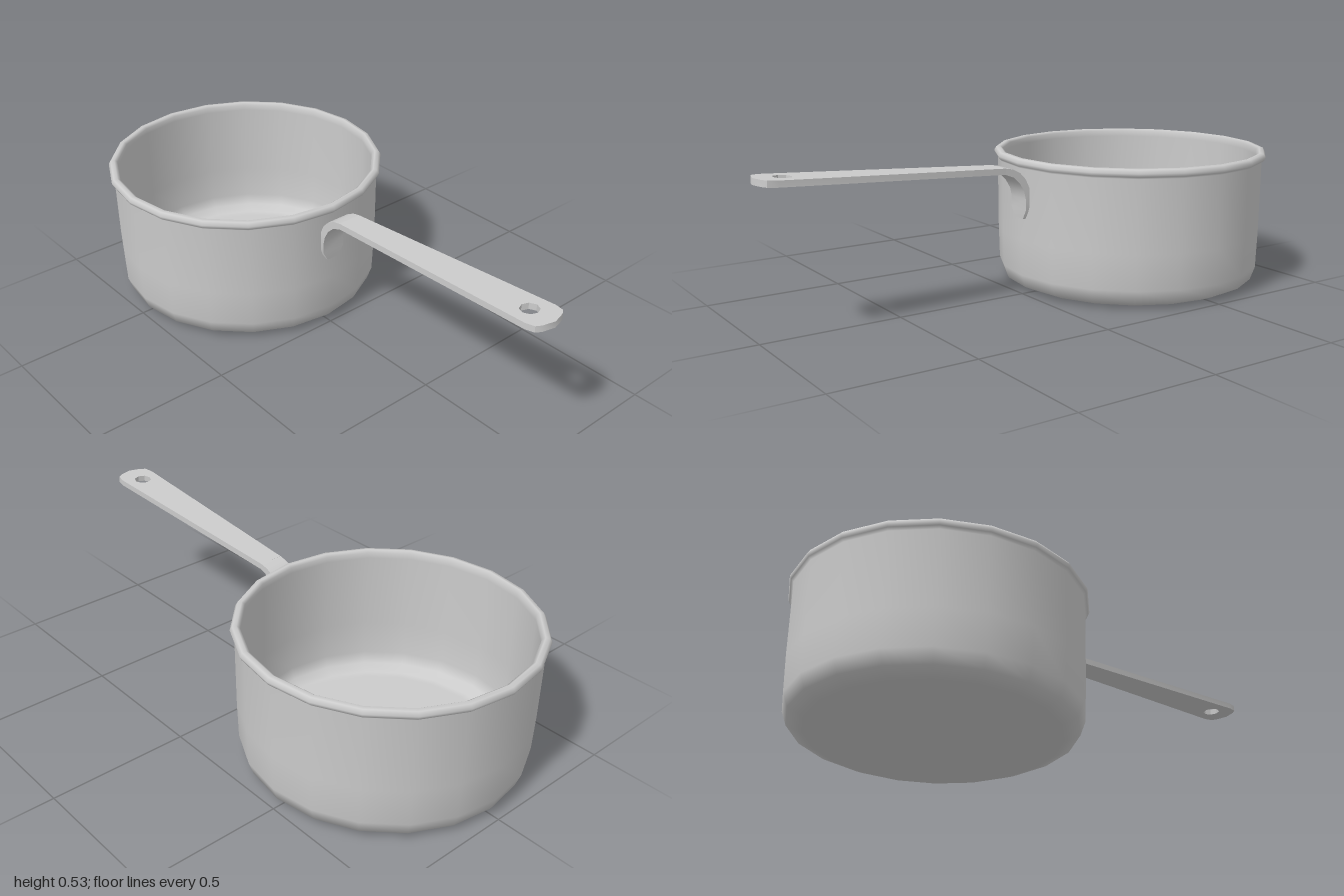
import * as THREE from 'three';
import { toCreasedNormals } from 'three/addons/utils/BufferGeometryUtils.js';

const material = new THREE.MeshStandardMaterial({ color: 0xcccccc });
const points = (list) => list.map(([x, y]) => new THREE.Vector2(x, y));

function addPart(group, name, geometry) {
  const mesh = new THREE.Mesh(geometry, material);
  mesh.name = name;
  group.add(mesh);
  return mesh;
}

// Piecewise linear lookup through [key, value] pairs
function ramp(pairs, key) {
  for (let i = 1; i < pairs.length; i++) {
    const [k0, v0] = pairs[i - 1], [k1, v1] = pairs[i];
    if (key <= k1) return v0 + (v1 - v0) * Math.max(0, (key - k0) / (k1 - k0));
  }
  return pairs[pairs.length - 1][1];
}

export function createModel() {
  const group = new THREE.Group();
  group.name = 'saucepan';

  // Pan: underside, outer wall, rolled rim, inner wall and floor in one profile
  const profile = points([
    [0, 0], [0.41, 0], [0.43, 0.002], [0.475, 0.022], [0.492, 0.07], [0.496, 0.2],
    [0.498, 0.465], [0.507, 0.473], [0.512, 0.485], [0.504, 0.498], [0.49, 0.5],
    [0.479, 0.492], [0.481, 0.47], [0.48, 0.2], [0.476, 0.075], [0.462, 0.035],
    [0.425, 0.017], [0.40, 0.015], [0, 0.015],
  ]);
  const pan = addPart(group, 'pan', new THREE.LatheGeometry(profile, 20));
  pan.position.x = -0.49;

  // Bracket: bent strip rising from the wall, narrowed at its lower end
  const side = new THREE.Shape(points([
    [-0.005, 0.282], [0.013, 0.285], [0.015, 0.32], [0.015, 0.36], [0.022, 0.39],
    [0.04, 0.42], [0.065, 0.443], [0.1, 0.457], [0.1, 0.479], [0.07, 0.473],
    [0.04, 0.458], [0.015, 0.432], [0, 0.40], [-0.005, 0.36], [-0.005, 0.32],
  ]));
  const bracket = new THREE.ExtrudeGeometry(side, { depth: 2, bevelEnabled: false });
  bracket.translate(0, 0, -1);
  const p = bracket.attributes.position;
  const halfWidths = [[0.285, 0.024], [0.32, 0.045], [0.48, 0.045]];
  for (let i = 0; i < p.count; i++) p.setZ(i, p.getZ(i) * ramp(halfWidths, p.getY(i)));
  addPart(group, 'handleBracket', toCreasedNormals(bracket, 0.7));

  // Grip: tapered flat bar with a hanging hole, drawn from above
  const outline = new THREE.Shape(points([
    [0, -0.045], [0.84, -0.07], [0.873, -0.063], [0.885, -0.045], [0.897, 0],
    [0.885, 0.045], [0.873, 0.063], [0.84, 0.07], [0, 0.045],
  ]));
  const hole = [];
  for (let i = 0; i < 8; i++) {
    const a = -i * Math.PI / 4;
    hole.push([0.8 + 0.032 * Math.cos(a), 0.032 * Math.sin(a)]);
  }
  outline.holes.push(new THREE.Path(points(hole)));
  const grip = new THREE.ExtrudeGeometry(outline, { depth: 0.022, bevelEnabled: false });
  grip.rotateX(-Math.PI / 2);
  grip.rotateZ(0.06);
  grip.translate(0.1, 0.457, 0);
  addPart(group, 'handleGrip', toCreasedNormals(grip, 0.7));

  return group;
}
